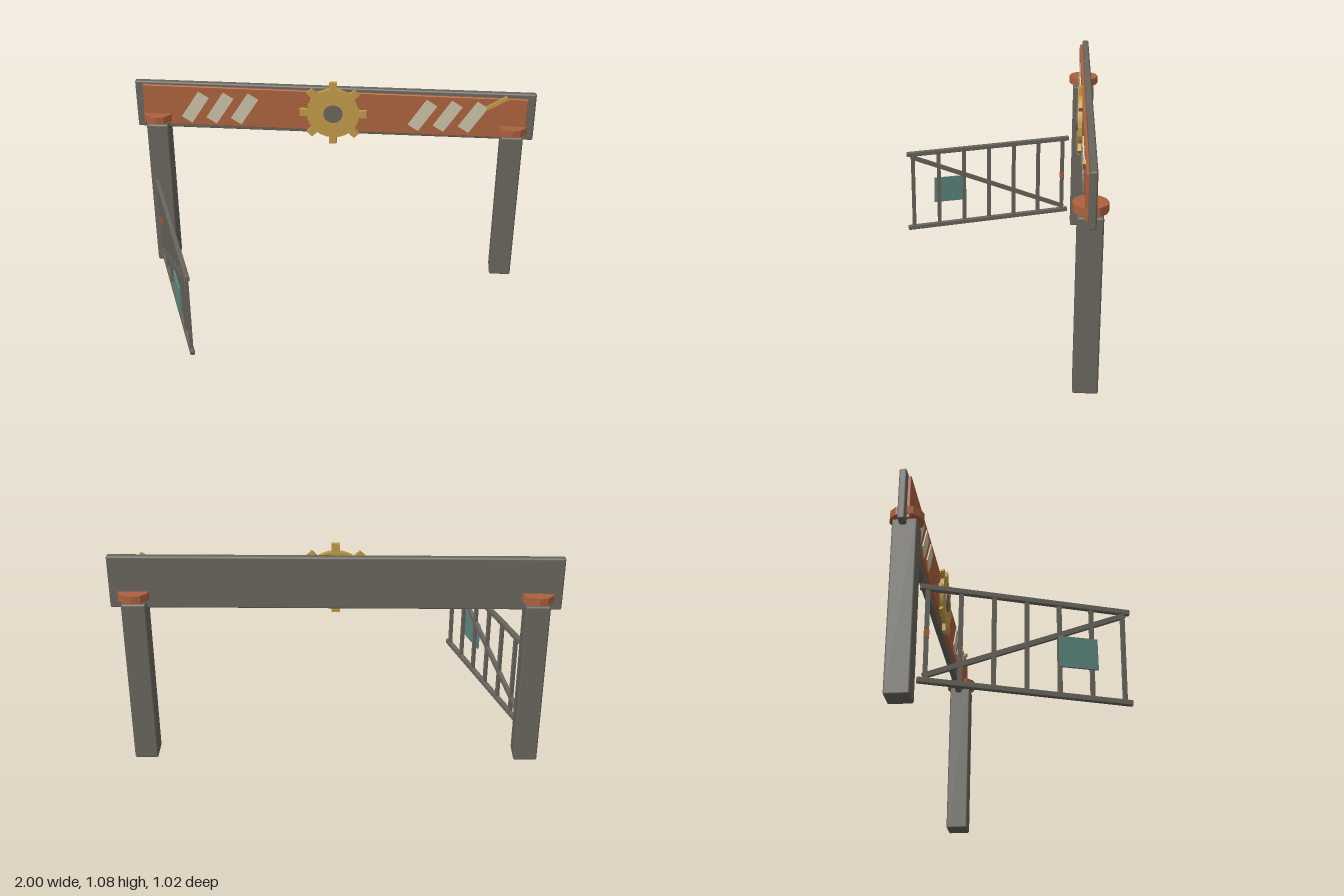
import * as THREE from 'three';
import { RoundedBoxGeometry } from 'three/addons/geometries/RoundedBoxGeometry.js';

const material = (name, color) => {
  const m = new THREE.MeshStandardMaterial({ color });
  m.name = name;
  return m;
};

export function createModel() {
  const iron = material('dark iron', 0x69665d);
  const rust = material('rust', 0xac623d);
  const gold = material('brass', 0xc09a48);
  const cream = material('cream paint', 0xc9c1a6);
  const teal = material('teal plate', 0x5b877d);

  const model = new THREE.Group();
  model.name = 'gateway';

  const add = (parent, name, geometry, mat, x, y, z, rz = 0) => {
    const mesh = new THREE.Mesh(geometry, mat);
    mesh.name = name;
    mesh.position.set(x, y, z);
    mesh.rotation.z = rz;
    parent.add(mesh);
    return mesh;
  };
  const box = (w, h, d, r = 0) =>
    r ? new RoundedBoxGeometry(w, h, d, 1, r) : new THREE.BoxGeometry(w, h, d);

  // Posts with round collars
  const collar = new THREE.CylinderGeometry(0.076, 0.076, 0.038, 12).toNonIndexed();
  collar.computeVertexNormals();
  for (const side of [-1, 1]) {
    add(model, 'post', box(0.11, 0.82, 0.11, 0.008), iron, side * 0.893, 0.41, -0.435);
    add(model, 'postCollar', collar, rust, side * 0.893, 0.852, -0.435);
  }

  // Header beam and its slightly crooked face panel
  add(model, 'headerBeam', box(2, 0.252, 0.033, 0.008), iron, 0, 0.915, -0.4415);
  add(model, 'headerPanel', box(1.92, 0.214, 0.016, 0.004), rust, 0, 0.917, -0.419, -0.005);

  // Slanted stripes
  for (const cx of [-0.572, 0.57]) {
    for (let i = -1; i <= 1; i++) {
      add(model, 'stripe', box(0.062, 0.165, 0.008), cream, cx + i * 0.125, 0.915, -0.409, -0.57);
    }
  }

  // Brass pointer near the end of the header
  add(model, 'pointer', box(0.115, 0.02, 0.012), gold, 0.81, 0.999, -0.406, 0.56);

  // Gear: disc, eight teeth and hub
  const gear = new THREE.Group();
  gear.name = 'gear';
  gear.position.set(0, 0.915, -0.4);
  model.add(gear);
  const disc = new THREE.CylinderGeometry(0.132, 0.132, 0.02, 24).rotateX(Math.PI / 2);
  add(gear, 'gearDisc', disc, gold, 0, 0, 0);
  for (let i = 0; i < 8; i++) {
    const a = (i * Math.PI) / 4;
    add(gear, 'gearTooth', box(0.05, 0.038, 0.018), gold,
      Math.cos(a) * 0.143, Math.sin(a) * 0.143, 0, a);
  }
  const hub = new THREE.CylinderGeometry(0.048, 0.048, 0.03, 16).rotateX(Math.PI / 2);
  add(gear, 'gearHub', hub, iron, 0, 0, 0.001);

  // Open gate, built along its own x axis from the hinge outwards
  const gate = new THREE.Group();
  gate.name = 'gate';
  gate.position.set(-0.912, 0, -0.361);
  gate.rotation.y = -Math.atan2(0.87, 0.315);
  model.add(gate);
  const length = 0.925;
  for (const y of [0.074, 0.502]) {
    add(gate, 'gateRail', box(length, 0.025, 0.022, 0.004), iron, length / 2, y, 0);
  }
  for (let i = 0; i < 7; i++) {
    add(gate, 'gateBar', box(0.018, 0.42, 0.016), iron, 0.034 + i * 0.143, 0.288, 0);
  }
  add(gate, 'gateBrace', box(0.96, 0.022, 0.018), iron, 0.463, 0.29, 0, Math.atan2(0.39, 0.872));
  add(gate, 'hingeClip', box(0.02, 0.035, 0.02), rust, 0.034, 0.286, 0);
  add(gate, 'gateSign', box(0.17, 0.142, 0.009), teal, 0.684, 0.27, 0.02, 0.02);

  return model;
}
